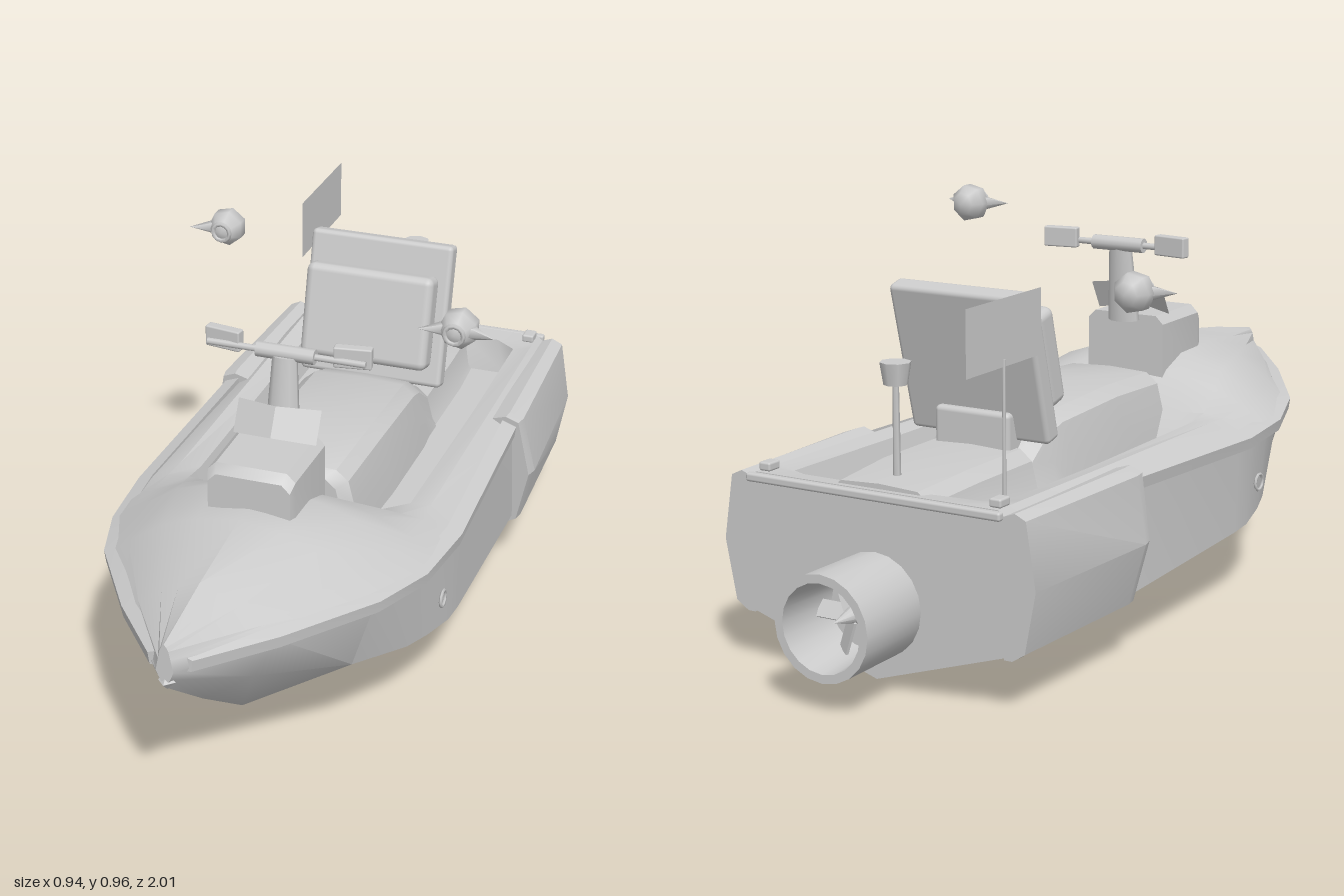
import * as THREE from 'three';
import { toCreasedNormals } from 'three/addons/utils/BufferGeometryUtils.js';
import { RoundedBoxGeometry } from 'three/addons/geometries/RoundedBoxGeometry.js';

const grey = new THREE.MeshStandardMaterial({ color: 0xcccccc });
const greyThin = new THREE.MeshStandardMaterial({ color: 0xcccccc, side: THREE.DoubleSide });

// Skin closed rings (counter-clockwise seen from the bow, ordered bow to stern) and cap the ends.
function loft(rings, crease = 0.6) {
  const pos = [];
  const n = rings[0].length;
  const tri = (a, b, c) => pos.push(...a, ...b, ...c);
  for (let i = 0; i < rings.length - 1; i++) {
    for (let j = 0; j < n; j++) {
      const k = (j + 1) % n;
      const [a, b, c, d] = [rings[i][j], rings[i][k], rings[i + 1][j], rings[i + 1][k]];
      tri(a, c, b);
      tri(b, c, d);
    }
  }
  const centre = (r) => [0, 1, 2].map((k) => r.reduce((s, p) => s + p[k], 0) / n);
  const first = rings[0], last = rings[rings.length - 1];
  for (let j = 0; j < n; j++) {
    const k = (j + 1) % n;
    tri(centre(first), first[j], first[k]);
    tri(centre(last), last[k], last[j]);
  }
  const g = new THREE.BufferGeometry();
  g.setAttribute('position', new THREE.Float32BufferAttribute(pos, 3));
  return toCreasedNormals(g, crease);
}

const mirrorRing = (r) => r.map(([x, y, z]) => [-x, y, z]).reverse();

// Complete a half section running from the keel to the top centre.
const fullRing = (half, z) => {
  const right = half.map(([x, y]) => [x, y, z]);
  return [...right, ...mirrorRing(right.slice(1, -1))];
};

export function createModel() {
  const model = new THREE.Group();
  const add = (name, geo, p = [0, 0, 0], r = [0, 0, 0], mat = grey, parent = model) => {
    const m = new THREE.Mesh(geo, mat);
    m.name = name;
    m.position.set(...p);
    m.rotation.set(...r);
    parent.add(m);
    return m;
  };
  const box = (w, h, d, r = 0.012) => new RoundedBoxGeometry(w, h, d, 2, r);

  // Hull and deck: z, keel y, chine, gunwale, rim, inner edge, floor edge, centre y
  const hull = [
    [1.0, 0.39, [0.012, 0.41], [0.02, 0.43], [0.014, 0.46], [0.01, 0.48], [0.005, 0.49], 0.495],
    [0.8, 0.235, [0.12, 0.32], [0.175, 0.425], [0.145, 0.455], [0.09, 0.49], [0.05, 0.51], 0.53],
    [0.57, 0.07, [0.265, 0.24], [0.32, 0.415], [0.27, 0.455], [0.18, 0.515], [0.1, 0.545], 0.56],
    [0.4, 0.015, [0.34, 0.2], [0.375, 0.405], [0.31, 0.45], [0.22, 0.51], [0.12, 0.54], 0.55],
    [0.32, 0.0, [0.365, 0.19], [0.388, 0.4], [0.32, 0.445], [0.24, 0.48], [0.14, 0.51], 0.52],
    [0.22, 0.002, [0.385, 0.177], [0.398, 0.395], [0.32, 0.435], [0.265, 0.44], [0.2, 0.435], 0.44],
    [0.15, 0.004, [0.388, 0.173], [0.398, 0.395], [0.315, 0.435], [0.265, 0.43], [0.245, 0.36], 0.36],
    [-0.35, 0.013, [0.38, 0.15], [0.378, 0.4], [0.315, 0.44], [0.27, 0.43], [0.25, 0.36], 0.36],
    [-0.72, 0.02, [0.35, 0.133], [0.35, 0.415], [0.315, 0.445], [0.27, 0.435], [0.25, 0.36], 0.36],
    [-0.75, 0.02, [0.348, 0.132], [0.348, 0.415], [0.315, 0.445], [0.22, 0.44], [0.12, 0.44], 0.44],
    [-0.8, 0.02, [0.345, 0.13], [0.343, 0.42], [0.315, 0.445], [0.22, 0.445], [0.12, 0.445], 0.445],
  ];
  add('hull', loft(hull.map(([z, keel, ...s]) => {
    const top = s.pop();
    return fullRing([[0, keel], ...s, [0, top]], z);
  })));
  add('transomLip', box(0.66, 0.02, 0.02, 0.006), [0, 0.435, -0.81]);

  // Rub strips along the gunwale, and rear sponsons
  const strip = [[0.97, 0.035, 0.44], [0.8, 0.17, 0.427], [0.57, 0.315, 0.41], [0.4, 0.37, 0.395],
    [0.2, 0.39, 0.392], [-0.35, 0.372, 0.41]];
  const stripRings = strip.map(([z, x, y]) => [[x - 0.02, y - 0.02, z], [x + 0.012, y - 0.02, z],
    [x + 0.016, y + 0.008, z], [x - 0.02, y + 0.022, z]]);
  const sponsonRing = (z, k, s) => [[0.33, 0.12], [0.355, 0.12], [0.395, 0.14], [0.43, 0.28], [0.4, 0.43], [0.365, 0.443], [0.32, 0.43]]
    .map(([x, y]) => [0.32 + (x - 0.32) * k, y, z + s * (y - 0.28)]);
  const sponsonRings = [sponsonRing(-0.34, 0.93, 0.1), sponsonRing(-0.37, 1, 0.1), sponsonRing(-0.8, 0.78, 0)];
  const plain = (r) => r;
  for (const [side, flip] of [['left', plain], ['right', mirrorRing]]) {
    add(side + 'RubStrip', loft(stripRings.map(flip)));
    add(side + 'Sponson', loft(sponsonRings.map(flip), 0.4));
    const s = side === 'left' ? 1 : -1;
    add(side + 'TowRing', new THREE.TorusGeometry(0.02, 0.004, 5, 10), [s * 0.388, 0.27, 0.28], [0, Math.PI / 2, 0]);
    add(side + 'SternCleat', box(0.03, 0.02, 0.04, 0.005), [s * 0.3, 0.455, -0.77]);
  }
  add('bowEye', new THREE.OctahedronGeometry(0.02), [0, 0.4, 0.99]);

  // Seats with sloping skirts
  const seatRing = ([z, w, top]) => fullRing([[0, 0.35], [w + 0.03, 0.35], [w + 0.015, top - 0.09], [w, top - 0.03],
    [w - 0.03, top - 0.005], [0, top]], z);
  add('seat', loft([[0.24, 0.11, 0.515], [0.22, 0.135, 0.53], [0, 0.145, 0.54], [-0.25, 0.145, 0.53],
    [-0.31, 0.14, 0.51], [-0.38, 0.14, 0.46]].map(seatRing)));
  add('rearSeat', loft([[-0.38, 0.14, 0.465], [-0.6, 0.14, 0.465], [-0.78, 0.13, 0.455]].map(seatRing)));

  // Backrest
  add('backrestPost', box(0.2, 0.16, 0.06), [0, 0.465, -0.385]);
  add('backrestShell', box(0.37, 0.36, 0.05), [0, 0.655, -0.4], [-0.26, 0, 0]);
  add('backrestPad', box(0.33, 0.235, 0.07, 0.02), [0, 0.665, -0.325], [-0.26, 0, 0]);

  // Steering console, windscreen and column
  const consoleRing = (z, w, top) => fullRing([[0, 0.49], [w, 0.49], [w, top - 0.02], [w - 0.02, top], [0, top]], z);
  add('console', loft([consoleRing(0.51, 0.098, 0.63), consoleRing(0.49, 0.104, 0.65), consoleRing(0.3, 0.106, 0.65)]));
  const screen = new THREE.PlaneGeometry(0.2, 0.08, 2, 1);
  const sp = screen.attributes.position;
  for (let i = 0; i < sp.count; i++) {
    if (Math.abs(sp.getX(i)) < 0.01) {
      sp.setZ(i, 0.03);
      if (sp.getY(i) > 0) sp.setY(i, 0.033);
    }
  }
  add('windscreen', toCreasedNormals(screen, 0.2), [0, 0.685, 0.325], [-0.5, 0, 0], greyThin);
  add('steeringColumn', new THREE.CylinderGeometry(0.03, 0.042, 0.19, 10), [0, 0.73, 0.282], [-0.1, 0, 0]).scale.z = 0.6;

  // Handlebar
  const handlebar = new THREE.Group();
  handlebar.name = 'handlebar';
  handlebar.position.set(0, 0.83, 0.265);
  model.add(handlebar);
  const across = [0, 0, Math.PI / 2];
  add('bar', new THREE.CylinderGeometry(0.008, 0.008, 0.38, 8), [0, 0, 0], across, grey, handlebar);
  add('barPad', new THREE.CylinderGeometry(0.018, 0.018, 0.14, 10), [0, 0, 0], across, grey, handlebar);
  for (const s of [1, -1]) {
    add('grip', box(0.088, 0.05, 0.025, 0.004), [s * 0.155, 0.008, -0.015], [0, s * 0.15, 0], grey, handlebar);
  }

  // Floating side lamps: faceted body, front ring and spikes
  const lamp = (name, x, y, z, spikes) => {
    const g = new THREE.Group();
    g.name = name;
    g.position.set(x, y, z);
    model.add(g);
    add('lampBody', new THREE.SphereGeometry(0.048, 7, 5), [0, 0, 0], [Math.PI / 2, 0, 0], grey, g);
    add('lampRing', new THREE.TorusGeometry(0.022, 0.006, 5, 12), [0, 0, 0.043], [0, 0, 0], grey, g);
    for (const s of spikes) {
      const spike = add('lampSpike', new THREE.ConeGeometry(0.018, 0.06, 5), [s * 0.06, 0, 0.025], [0, 0, 0], grey, g);
      spike.quaternion.setFromUnitVectors(new THREE.Vector3(0, 1, 0), new THREE.Vector3(s, 0, 0.35).normalize());
    }
  };
  lamp('leftLamp', 0.38, 0.915, 0.18, [1, -1]);
  lamp('rightLamp', -0.385, 0.84, -0.35, [-1]);

  // Stern light and flag
  add('sternLightPole', new THREE.CylinderGeometry(0.007, 0.009, 0.23, 6), [0, 0.56, -0.71]);
  add('sternLight', new THREE.CylinderGeometry(0.035, 0.027, 0.05, 8), [0, 0.685, -0.71]);
  add('flagPole', new THREE.CylinderGeometry(0.004, 0.004, 0.3, 6), [-0.24, 0.58, -0.655]);
  add('flag', new THREE.PlaneGeometry(0.3, 0.148), [-0.24, 0.788, -0.652], [0, Math.PI / 2, 0], greyThin);

  // Jet nozzle with impeller
  const nozzle = new THREE.Group();
  nozzle.name = 'jetNozzle';
  nozzle.position.set(0, 0.19, -0.9);
  nozzle.rotation.x = -Math.PI / 2;
  model.add(nozzle);
  const profile = [[0.118, -0.12], [0.12, 0.1], [0.1, 0.1], [0.088, -0.06], [0, -0.06]].map((p) => new THREE.Vector2(...p));
  add('nozzleShell', toCreasedNormals(new THREE.LatheGeometry(profile, 20), 0.6), [0, 0, 0], [0, 0, 0], greyThin, nozzle);
  add('impellerHub', new THREE.ConeGeometry(0.03, 0.11, 10), [0, 0, 0], [0, 0, 0], grey, nozzle);
  for (let i = 0; i < 5; i++) {
    const arm = new THREE.Group();
    arm.name = 'impellerBlade';
    arm.rotation.y = i * Math.PI * 0.4;
    nozzle.add(arm);
    add('blade', new THREE.BoxGeometry(0.08, 0.006, 0.04), [0.052, -0.02, 0], [0.6, 0, 0], grey, arm);
  }
  return model;
}
